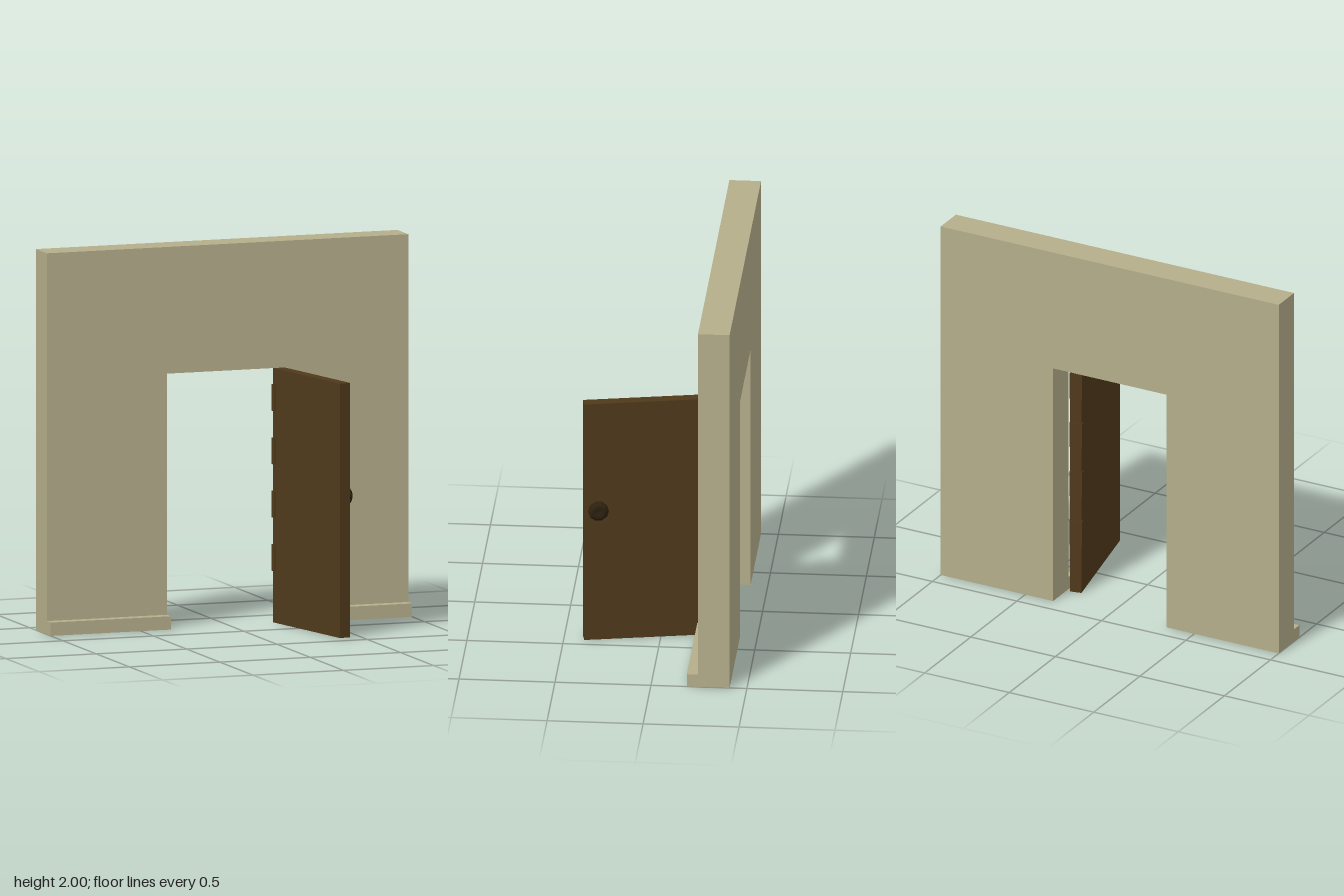
import * as THREE from 'three';

export function createModel() {
  const model = new THREE.Group();
  const material = (color) => new THREE.MeshStandardMaterial({ color, flatShading: true });
  const plaster = material(0xb5ae8b);
  const wood = material(0x4f391b);
  const darkMetal = material(0x2e2110);

  const add = (parent, name, geometry, mat, x = 0, y = 0, z = 0) => {
    const mesh = new THREE.Mesh(geometry, mat);
    mesh.name = name;
    mesh.position.set(x, y, z);
    parent.add(mesh);
    return mesh;
  };

  // Wall: one outline running around the doorway
  const opening = 0.335, openingTop = 1.335, back = -0.41, front = -0.245;
  const outline = new THREE.Shape([
    [-1, 0], [-opening, 0], [-opening, openingTop], [opening, openingTop],
    [opening, 0], [1, 0], [1, 2], [-1, 2],
  ].map(([x, y]) => new THREE.Vector2(x, y)));
  const wall = new THREE.ExtrudeGeometry(outline, { depth: front - back, bevelEnabled: false });
  add(model, 'wall', wall, plaster, 0, 0, back);

  // Skirting boards on the front, either side of the doorway
  const skirtingWidth = 1 - opening, skirtingDepth = 0.058;
  for (const side of [-1, 1]) {
    add(model, side > 0 ? 'leftSkirting' : 'rightSkirting',
      new THREE.BoxGeometry(skirtingWidth, 0.07, skirtingDepth), plaster,
      side * (opening + skirtingWidth / 2), 0.035, front + skirtingDepth / 2);
  }

  // Open door, swung forward on its hinge edge
  const door = new THREE.Group();
  door.name = 'door';
  door.position.set(0.3485, 0, 0.07);
  door.rotation.y = 0.197;
  model.add(door);
  const length = 0.67, thickness = 0.061;
  add(door, 'doorPanel', new THREE.BoxGeometry(thickness, openingTop, length), wood, 0, openingTop / 2, 0);

  // Hinge knuckles: slightly proud blocks spaced up the hinge edge
  for (let i = 0; i < 4; i++) {
    add(door, 'hingeKnuckle', new THREE.BoxGeometry(thickness + 0.008, 0.14, 0.03), wood,
      0, 0.34 + i * 0.28, -length / 2 + 0.011);
  }

  // Faceted knob on the outer face
  const profile = [[0.03, 0], [0.054, 0.012], [0.054, 0.022], [0.036, 0.038], [0.022, 0.038], [0, 0.034]]
    .map(([r, h]) => new THREE.Vector2(r, h));
  const knob = add(door, 'knob', new THREE.LatheGeometry(profile, 10), darkMetal,
    thickness / 2, 0.735, 0.263);
  knob.rotation.z = -Math.PI / 2;

  return model;
}
